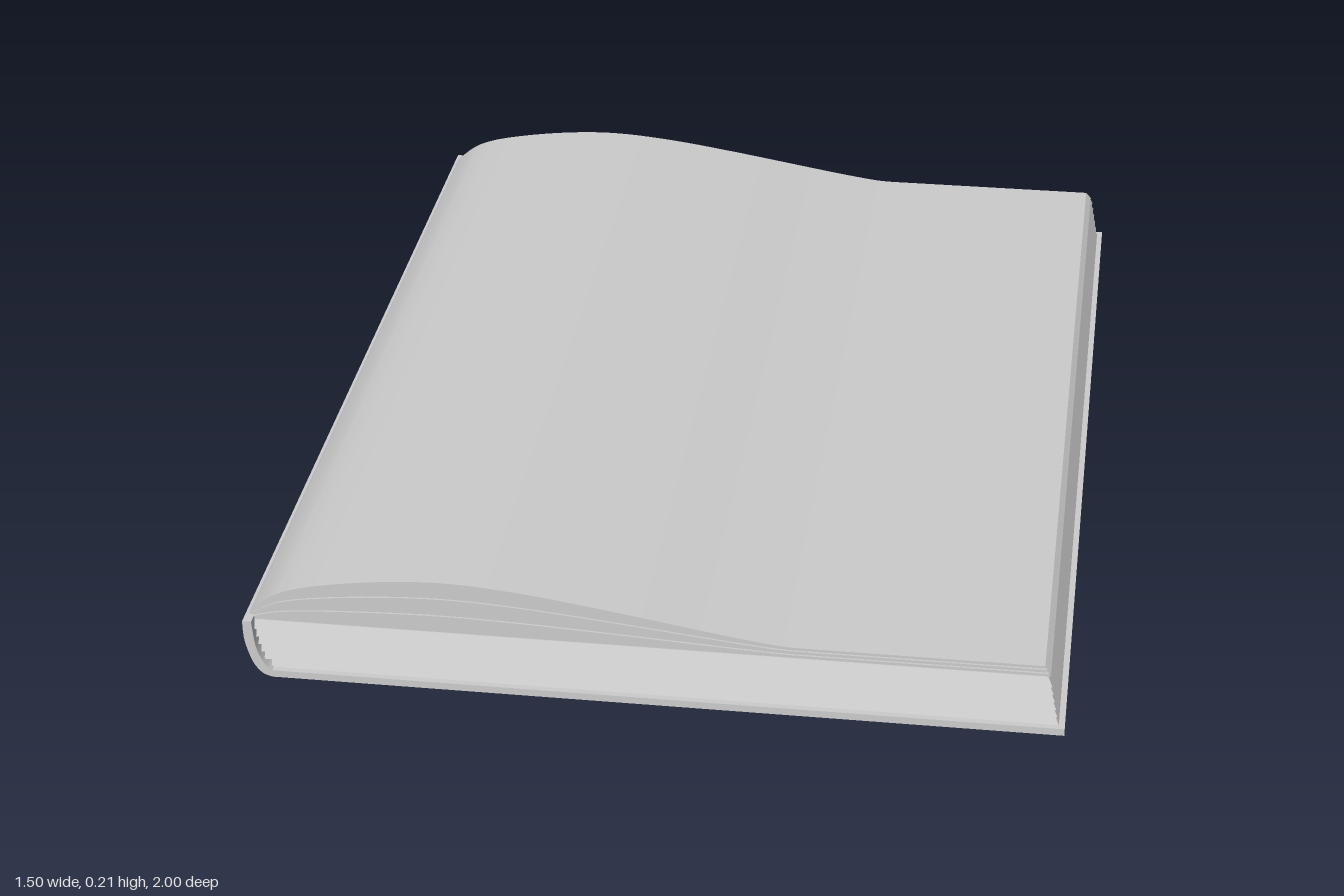
import * as THREE from 'three';
import { toCreasedNormals } from 'three/addons/utils/BufferGeometryUtils.js';

export function createModel() {
  const book = new THREE.Group();
  book.name = 'book';
  const paper = new THREE.MeshStandardMaterial({ color: 0xcccccc });
  paper.name = 'paleGrey';

  const add = (name, geometry) => {
    const mesh = new THREE.Mesh(geometry, paper);
    mesh.name = name;
    book.add(mesh);
    return mesh;
  };

  // Extrudes an outline in x, y symmetrically along z
  const extrude = (points, halfDepth) => {
    const geo = new THREE.ExtrudeGeometry(new THREE.Shape(points), { depth: halfDepth * 2, bevelEnabled: false });
    geo.translate(0, 0, -halfDepth);
    return toCreasedNormals(geo, 0.6);
  };
  const curve = (pts, n) =>
    new THREE.SplineCurve(pts.map(([x, y]) => new THREE.Vector2(x, y))).getPoints(n);

  // Back cover
  const cover = add('backCover', new THREE.BoxGeometry(1.45, 0.014, 2));
  cover.position.set(0.025, 0.007, 0);

  // Rounded spine
  const outer = curve([[-0.75, 0.117], [-0.748, 0.075], [-0.735, 0.03], [-0.718, 0.007], [-0.7, 0]], 14);
  const inner = curve([[-0.698, 0.012], [-0.715, 0.03], [-0.728, 0.065], [-0.733, 0.117]], 12);
  add('spine', extrude([...outer, ...inner], 1));

  // Page block: stacked layers whose free edges taper upwards
  const layers = 6, bottom = 0.014, top = 0.11, step = (top - bottom) / layers;
  for (let i = 0; i < layers; i++) {
    const geo = new THREE.BoxGeometry(1, 1, 1).toNonIndexed();
    const p = geo.attributes.position;
    const right = 0.739 - i * 0.003;
    const left = -0.704 - 0.028 * Math.sqrt(i / (layers - 1));
    for (let v = 0; v < p.count; v++) {
      const taper = p.getY(v) > 0 ? 0.008 : 0;
      const x = p.getX(v) > 0 ? right - taper : left;
      const y = bottom + step * (i + p.getY(v) + 0.5);
      p.setXYZ(v, x, y, Math.sign(p.getZ(v)) * (0.988 - taper));
    }
    geo.computeVertexNormals();
    add('pageLayer' + (i + 1), geo);
  }

  // Curled upper pages: one arch, scaled in height for each section
  const arch = curve([
    [-0.745, 0.115], [-0.735, 0.128], [-0.69, 0.162], [-0.62, 0.184], [-0.5, 0.203], [-0.38, 0.21],
    [-0.25, 0.201], [-0.1, 0.18], [0.1, 0.147], [0.17, 0.136], [0.24, 0.127], [0.3, 0.126],
  ], 66);
  arch.push(new THREE.Vector2(0.716, 0.126));
  const section = (f) => arch.map(({ x, y }) => new THREE.Vector2(x, 0.11 + (y - 0.11) * f));
  const sections = 3;
  for (let i = 0; i < sections; i++) {
    const low = section(i / sections);
    const high = section((i + 1) / sections).reverse();
    low[low.length - 1].x = 0.72 - i * 0.003;
    high[0].x = 0.715 - i * 0.003;
    add('curledPages' + (i + 1), extrude([...low, ...high], 0.978 - i * 0.004));
  }

  return book;
}
